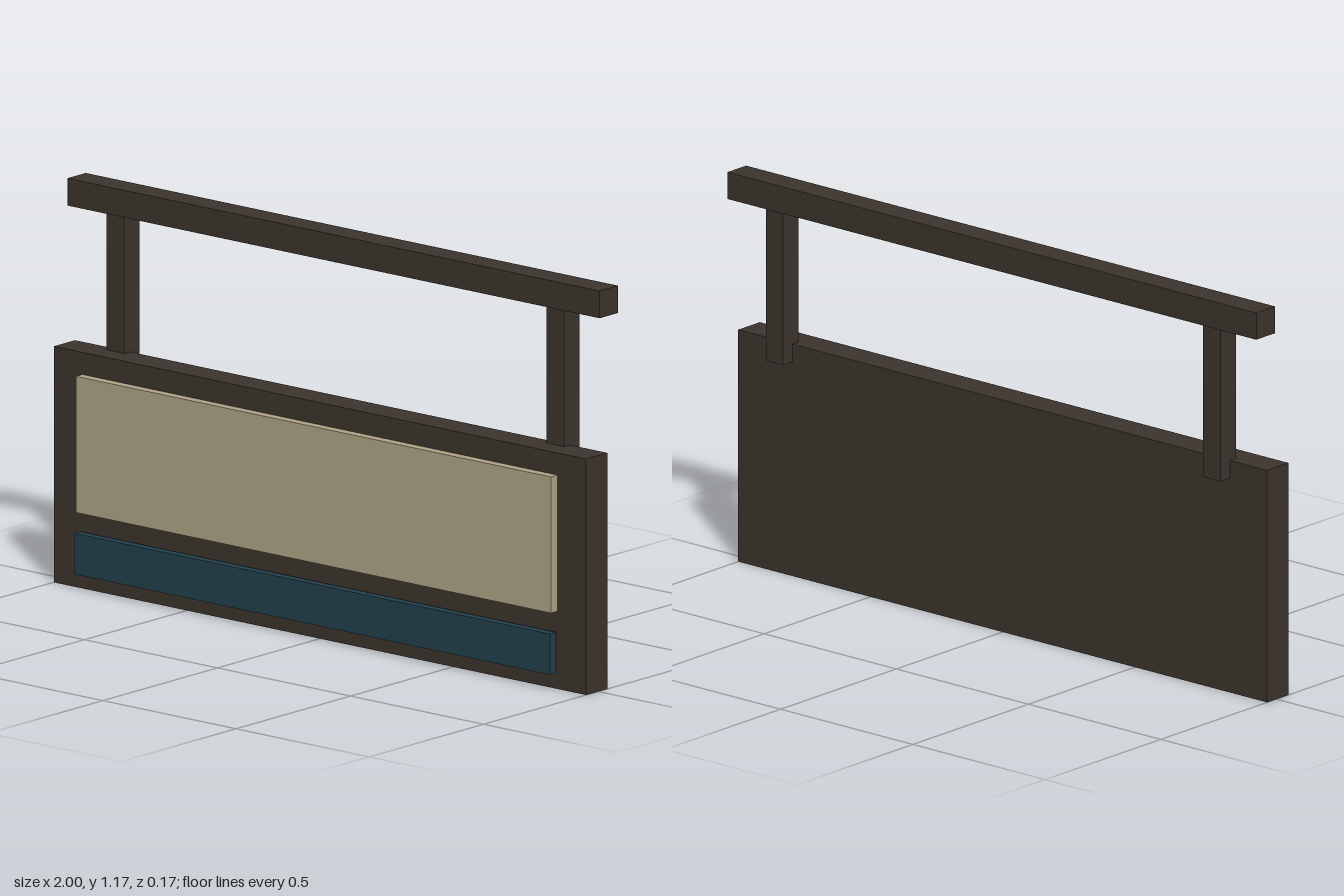
import * as THREE from 'three';

export function createModel() {
  const model = new THREE.Group();
  model.name = 'hangingSign';

  const material = (name, color) => {
    const m = new THREE.MeshStandardMaterial({ color });
    m.name = name;
    return m;
  };
  const darkWood = material('darkWood', 0x3c342d);
  const cream = material('cream', 0xb0a486);
  const teal = material('teal', 0x23404b);

  // Box given by its extents on each axis
  const box = (name, mat, [x0, x1], [y0, y1], [z0, z1]) => {
    const mesh = new THREE.Mesh(new THREE.BoxGeometry(x1 - x0, y1 - y0, z1 - z0), mat);
    mesh.position.set((x0 + x1) / 2, (y0 + y1) / 2, (z0 + z1) / 2);
    mesh.name = name;
    model.add(mesh);
  };

  // Board with its raised face panel and the lower strip standing just off it
  box('board', darkWood, [-1, 1], [0, 0.693], [-0.04, 0.053]);
  box('facePanel', cream, [-0.893, 0.893], [0.228, 0.628], [0.04, 0.081]);
  box('lowerStrip', teal, [-0.893, 0.893], [0.048, 0.168], [0.06, 0.087]);

  // Overhead beam and the two posts that overlap the back of the board
  box('beam', darkWood, [-1, 1], [1.095, 1.175], [-0.087, -0.006]);
  for (const [name, x] of [['leftPost', 0.827], ['rightPost', -0.827]]) {
    box(name, darkWood, [x - 0.033, x + 0.033], [0.64, 1.095], [-0.081, -0.014]);
  }

  return model;
}
